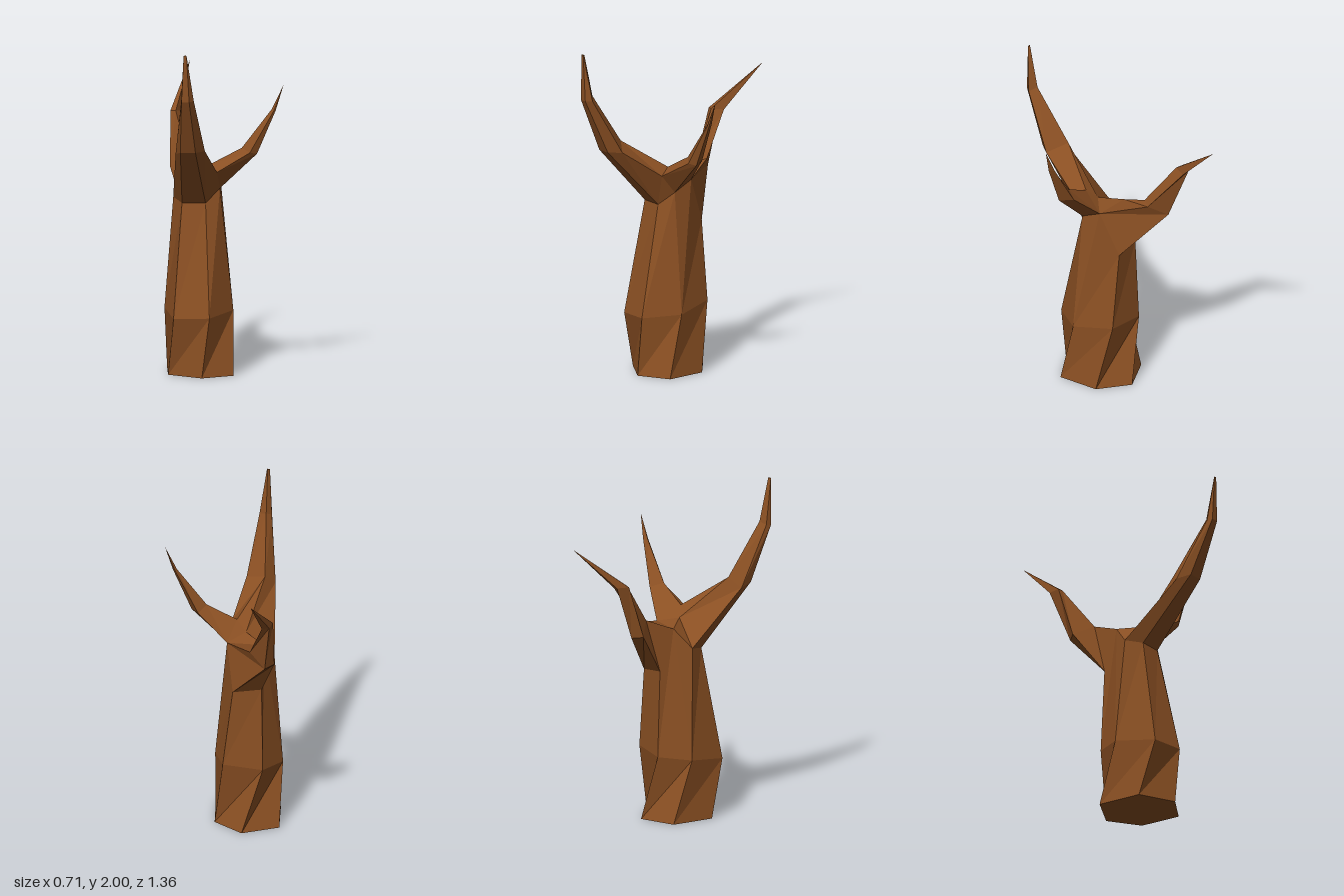
import * as THREE from 'three';

const bark = new THREE.MeshStandardMaterial({ color: 0x8b5023, flatShading: true });

// Faceted mesh from a list of triangles, each three [x, y, z] corners
function facets(name, triangles) {
  const geometry = new THREE.BufferGeometry();
  geometry.setAttribute('position', new THREE.Float32BufferAttribute(triangles.flat(2), 3));
  geometry.computeVertexNormals();
  const mesh = new THREE.Mesh(geometry, bark);
  mesh.name = name;
  return mesh;
}

// Skin between successive rings of equal length; repeated points merge facets
function loft(rings) {
  const triangles = [];
  for (let r = 0; r + 1 < rings.length; r++) {
    const low = rings[r], up = rings[r + 1], n = low.length;
    for (let i = 0; i < n; i++) {
      const j = (i + 1) % n;
      if (low[i] !== low[j]) triangles.push([low[i], low[j], up[j]]);
      if (up[i] !== up[j]) triangles.push([low[i], up[j], up[i]]);
    }
  }
  return triangles;
}

export function createModel() {
  const group = new THREE.Group();
  group.name = 'branchedStump';

  // Trunk rings, counterclockwise from the front right corner
  const base = [[-0.32, 0, 0.22], [-0.11, 0, 0.33], [0.07, 0, 0.22],
    [0.04, 0, -0.03], [-0.14, 0, -0.16], [-0.35, 0, -0.05]];
  const waist = [[-0.28, 0.35, 0.31], [-0.065, 0.36, 0.33], [0.06, 0.38, 0.13],
    [-0.02, 0.42, -0.11], [-0.26, 0.40, -0.11], [-0.355, 0.38, 0.07]];

  // Shoulder and crown corners shared by the trunk and the branches
  const A = [-0.24, 1.03, 0.19], B = [-0.10, 1.03, 0.19], C = [-0.02, 1.11, 0.125];
  const D = [-0.08, 0.90, -0.11], E = [-0.25, 0.92, -0.09], F = [-0.30, 1.05, 0.10];
  const P = [-0.03, 1.17, 0], Q = [-0.25, 1.17, 0], S = [-0.13, 1.20, 0.10];
  const T = [-0.07, 1.26, 0.14], V = [-0.03, 1.22, 0.21];

  const [a, b, c, d, e, f] = waist;
  const trunk = [
    ...loft([base, waist]),
    ...loft([[a, b, c, c, d, e, f, f], [A, B, C, P, D, E, Q, F]]),
    [B, C, V], [S, P, Q], [S, T, P], [S, Q, F],
  ];
  for (let i = 1; i < 5; i++) trunk.push([base[0], base[i + 1], base[i]]);
  group.add(facets('trunk', trunk));

  // Front branch, curving up to a narrow edge
  const elbowTop = [-0.20, 1.43, 0.39], wristTop = [-0.175, 1.74, 0.61];
  const tipL = [-0.187, 2, 0.68], tipR = [-0.17, 2, 0.68], tipBack = [-0.175, 2, 0.668];
  group.add(facets('frontBranch', [
    ...loft([
      [A, B, V, T, S, F],
      [[-0.22, 1.39, 0.53], [-0.13, 1.39, 0.53], [-0.08, 1.39, 0.46], elbowTop, elbowTop, [-0.255, 1.37, 0.45]],
      [[-0.20, 1.72, 0.675], [-0.155, 1.72, 0.675], [-0.13, 1.72, 0.64], wristTop, wristTop, [-0.205, 1.72, 0.64]],
      [tipL, tipR, tipR, tipBack, tipBack, tipL],
    ]),
    [tipL, tipR, tipBack],
  ]));

  // Left branch, tapering to a point
  const leftTip = [0.355, 1.73, 0.09];
  group.add(facets('leftBranch', loft([
    [C, P, T, V],
    [[0.20, 1.32, 0.12], [0.15, 1.33, 0.045], [0.11, 1.355, 0.12], [0.16, 1.33, 0.15]],
    [[0.31, 1.58, 0.105], [0.295, 1.59, 0.075], [0.285, 1.585, 0.10], [0.30, 1.58, 0.112]],
    [leftTip, leftTip, leftTip, leftTip],
  ])));

  // Back branch, kinked upright and then pointing backwards
  const backTip = [-0.27, 1.74, -0.68];
  group.add(facets('backBranch', loft([
    [E, Q, P, D],
    [[-0.35, 1.17, -0.25], [-0.235, 1.24, -0.175], [-0.20, 1.23, -0.23], [-0.30, 1.16, -0.305]],
    [[-0.357, 1.49, -0.35], [-0.325, 1.49, -0.345], [-0.30, 1.48, -0.42], [-0.345, 1.49, -0.425]],
    [backTip, backTip, backTip, backTip],
  ])));

  return group;
}
